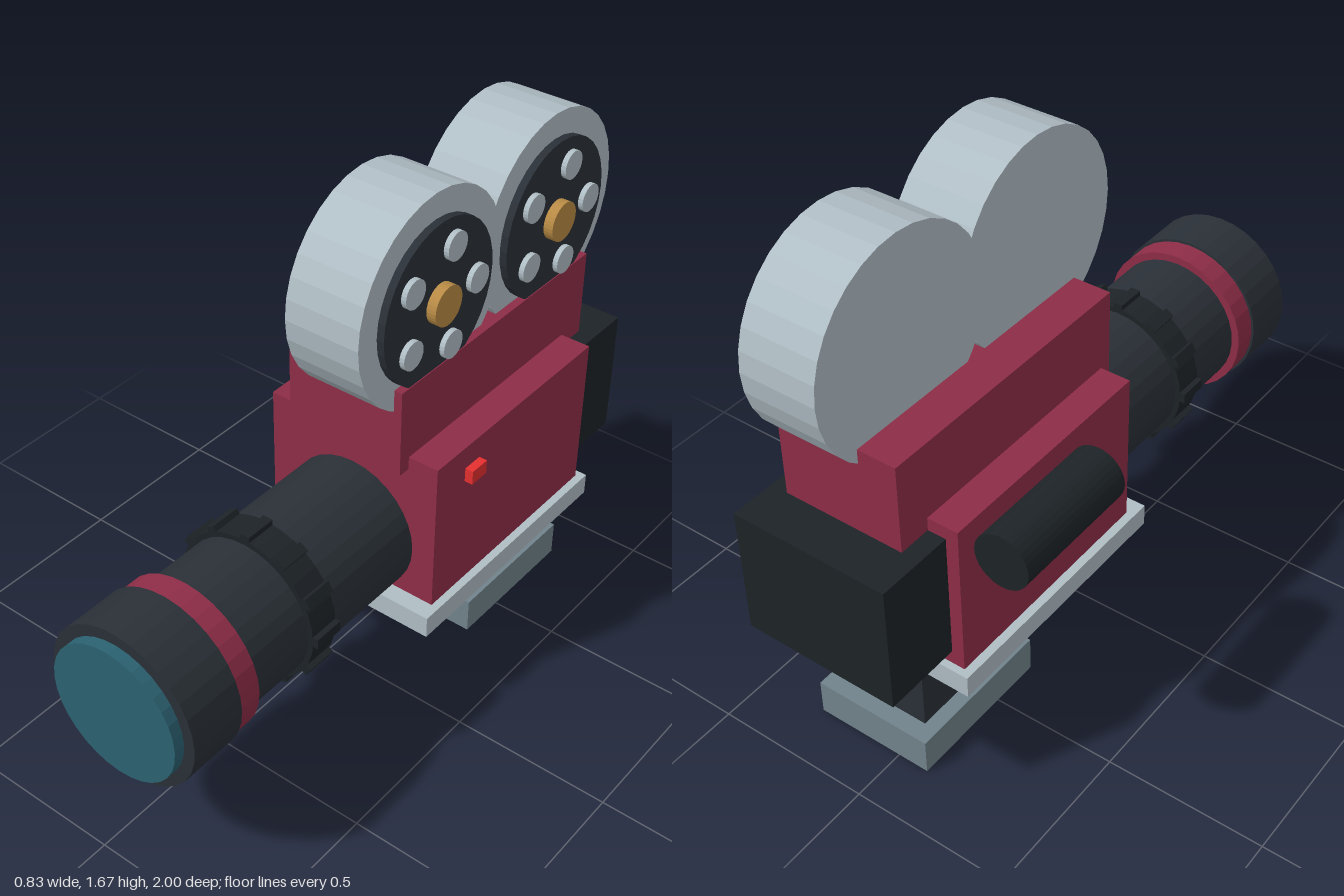
import * as THREE from 'three';

const mat = (color) => new THREE.MeshStandardMaterial({ color, flatShading: true });

export function createModel() {
  const camera = new THREE.Group();
  camera.name = 'movieCamera';

  const red = mat(0x8e2d47), dark = mat(0x2a3037), black = mat(0x1d2327);
  const silver = mat(0xb0bec5), steel = mat(0x72838c), glass = mat(0x2b6272);
  const gold = mat(0xb88b45), signal = mat(0xe53030);

  const add = (name, geometry, material, parent = camera) => {
    const mesh = new THREE.Mesh(geometry, material);
    mesh.name = name;
    parent.add(mesh);
    return mesh;
  };

  // Box given by its extents on each axis
  const box = (name, material, [x0, x1], [y0, y1], [z0, z1]) =>
    add(name, new THREE.BoxGeometry(x1 - x0, y1 - y0, z1 - z0), material)
      .position.set((x0 + x1) / 2, (y0 + y1) / 2, (z0 + z1) / 2);

  // Cylinder lying along z
  const cylZ = (name, material, x, y, r, z0, z1, parent) =>
    add(name, new THREE.CylinderGeometry(r, r, z1 - z0, 32).rotateX(Math.PI / 2), material, parent)
      .position.set(x, y, (z0 + z1) / 2);

  // Cylinder lying along x
  const cylX = (name, material, r, x0, x1, y, z, parent, sides = 32) =>
    add(name, new THREE.CylinderGeometry(r, r, x1 - x0, sides).rotateZ(Math.PI / 2), material, parent)
      .position.set((x0 + x1) / 2, y, z);

  // Body, magazine base, rear pack
  box('body', red, [-0.2, 0.385], [0.415, 0.907], [-0.757, 0.01]);
  box('magazineBase', red, [-0.102, 0.287], [0.866, 1.143], [-0.86, 0.05]);
  box('rearPack', black, [-0.16, 0.342], [0.46, 0.866], [-1, -0.74]);
  box('recordButton', signal, [0.38, 0.411], [0.788, 0.833], [-0.193, -0.125]);

  // Mount
  box('basePlate', silver, [-0.227, 0.41], [0.345, 0.415], [-0.78, 0.066]);
  box('mountColumn', dark, [-0.055, 0.238], [0.1, 0.46], [-0.77, -0.395]);
  box('mountFoot', steel, [-0.102, 0.287], [0, 0.115], [-0.827, -0.34]);
  for (const y of [0.175, 0.29])
    box('mountClamp', steel, [-0.071, 0.256], [y, y + 0.038], [-0.41, -0.353]);

  // Viewfinder on the right side
  cylZ('viewfinder', black, -0.331, 0.875, 0.085, -0.75, -0.33);

  // Lens
  const lens = new THREE.Group();
  lens.name = 'lens';
  lens.position.set(0.093, 0.582, 0);
  camera.add(lens);
  cylZ('lensBarrel', dark, 0, 0, 0.217, -0.03, 0.71, lens);
  cylZ('lensBand', red, 0, 0, 0.242, 0.707, 0.785, lens);
  cylZ('lensHood', dark, 0, 0, 0.25, 0.785, 0.966, lens);
  cylZ('lensGlass', glass, 0, 0, 0.214, 0.966, 1, lens);

  // Focus ring with twelve grip ridges
  cylZ('focusRing', black, 0, 0, 0.234, 0.38, 0.477, lens);
  for (let i = 0; i < 12; i++) {
    const a = (i / 12) * Math.PI * 2;
    const ridge = add('focusRidge', new THREE.BoxGeometry(0.04, 0.032, 0.097), black, lens);
    ridge.position.set(Math.cos(a) * 0.23, Math.sin(a) * 0.23, 0.4285);
    ridge.rotation.z = a;
  }

  // Two film reels with plate, hub and five studs
  for (const z of [-0.11, -0.665]) {
    const reel = new THREE.Group();
    reel.name = 'filmReel';
    reel.position.set(0, 1.35, z);
    camera.add(reel);
    cylX('reelCase', silver, 0.32, 0.02, 0.261, 0, 0, reel);
    cylX('reelPlate', dark, 0.243, 0.25, 0.284, 0, 0, reel);
    cylX('reelHub', gold, 0.06, 0.27, 0.314, 0, 0, reel);
    for (let i = 0; i < 5; i++) {
      const a = (i / 5) * Math.PI * 2;
      cylX('reelStud', silver, 0.043, 0.27, 0.3, Math.sin(a) * 0.162, -Math.cos(a) * 0.162, reel, 24);
    }
  }

  return camera;
}
